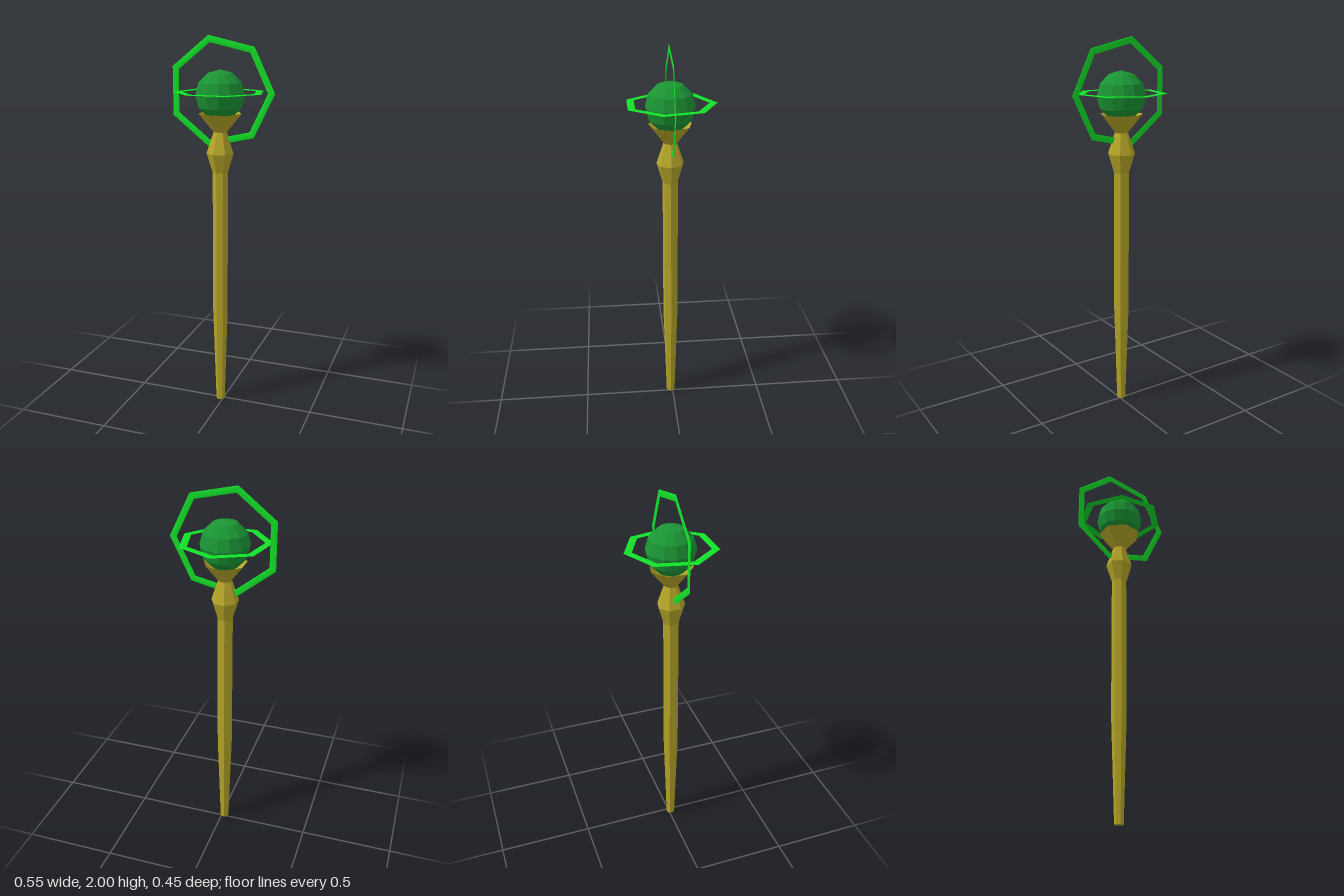
import * as THREE from 'three';

const AXIS_X = -0.015, AXIS_Z = 0.01;

const material = (color, side = THREE.FrontSide) =>
  new THREE.MeshStandardMaterial({ color, flatShading: true, side });

export function createModel() {
  const gold = material(0xb5a528, THREE.DoubleSide);
  const orbGreen = material(0x1a9433);
  const ringGreen = material(0x12e028);

  const model = new THREE.Group();
  model.name = 'staff';

  const add = (name, geometry, mat, y = 0) => {
    const mesh = new THREE.Mesh(geometry, mat);
    mesh.name = name;
    mesh.position.set(AXIS_X, y, AXIS_Z);
    model.add(mesh);
  };

  // Seven-sided turned part with a corner towards +x
  const turned = (profile) =>
    new THREE.LatheGeometry(profile.map(([r, y]) => new THREE.Vector2(r, y)), 7)
      .rotateY(Math.PI / 2);

  // Flattened seven-cornered ring, first corner towards +x
  const ring = (outer, inner) =>
    new THREE.TorusGeometry((outer + inner) / 2, (outer - inner) / 2, 8, 7)
      .scale(1, 1, 0.12);

  // Shaft, tapering to the foot
  add('shaft', turned([[0, 0], [0.024, 0], [0.041, 0.54], [0.041, 1.31]]), gold);

  // Knob below the neck
  add('knob', turned([[0.041, 1.31], [0.072, 1.41], [0.035, 1.52]]), gold);

  // Open cup holding the orb
  add('cup', turned([[0.035, 1.52], [0.113, 1.615], [0.033, 1.525], [0, 1.525]]), gold);

  // Faceted orb
  add('orb', new THREE.SphereGeometry(0.127, 13, 6).rotateY(-Math.PI / 2), orbGreen, 1.706);

  // Two crossed rings around the orb
  add('uprightRing', ring(0.287, 0.25), ringGreen, 1.72);
  add('levelRing', ring(0.236, 0.195).rotateZ(Math.PI / 2).rotateX(-Math.PI / 2), ringGreen, 1.72);

  return model;
}
